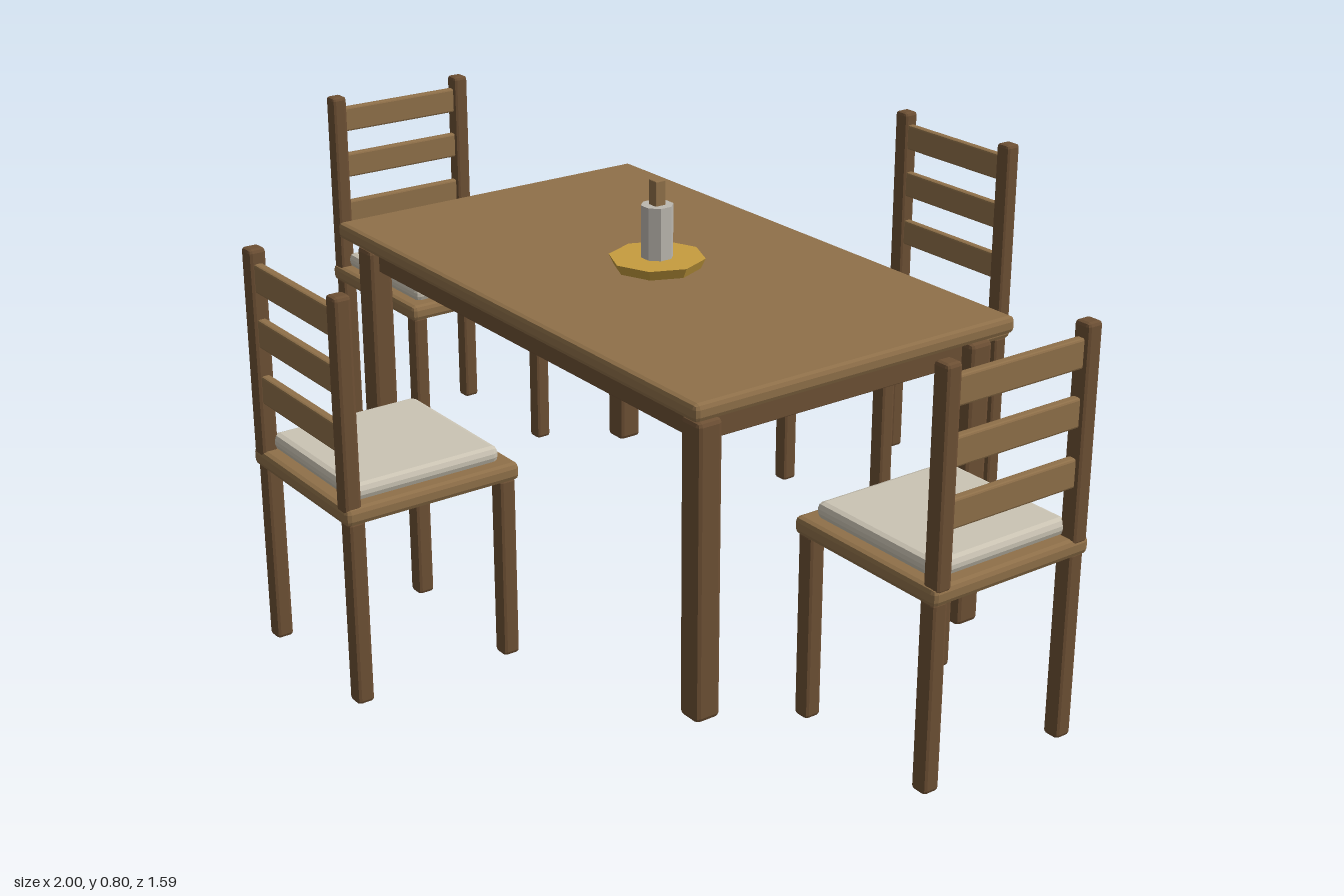
import * as THREE from 'three';
import { RoundedBoxGeometry } from 'three/addons/geometries/RoundedBoxGeometry.js';

const material = (name, color, flatShading = false) =>
  new THREE.MeshStandardMaterial({ name, color, flatShading });

export function createModel() {
  const wood = material('wood', 0x8f7049);
  const darkWood = material('dark wood', 0x6d5034);
  const fabric = material('cushion fabric', 0xcbc4b4);
  const brass = material('brass', 0xc69c3e, true);
  const glass = material('pale grey', 0xbcb8b0, true);

  // Box with faceted bevels, placed by its centre x, z and its bottom and top
  function block(parent, name, mat, w, d, x, z, y0, y1, bevel) {
    const geo = new RoundedBoxGeometry(w, y1 - y0, d, 1, bevel);
    geo.computeVertexNormals();
    const mesh = new THREE.Mesh(geo, mat);
    mesh.name = name;
    mesh.position.set(x, (y0 + y1) / 2, z);
    parent.add(mesh);
    return mesh;
  }

  const model = new THREE.Group();
  model.name = 'diningSet';

  // Table
  const table = new THREE.Group();
  table.name = 'table';
  block(table, 'tableTop', wood, 1.22, 0.732, 0, 0, 0.592, 0.626, 0.01);
  block(table, 'apron', darkWood, 1.114, 0.634, 0, 0, 0.53, 0.594, 0.002);
  for (const sx of [-1, 1])
    for (const sz of [-1, 1])
      block(table, 'tableLeg', darkWood, 0.053, 0.053, sx * 0.556, sz * 0.312, 0, 0.577, 0.009);
  model.add(table);

  // Chairs, each with its back on local +z
  function chair() {
    const g = new THREE.Group();
    g.name = 'chair';
    block(g, 'seat', wood, 0.354, 0.357, 0, 0, 0.354, 0.388, 0.01);
    block(g, 'cushion', fabric, 0.304, 0.304, 0, 0, 0.386, 0.418, 0.012);
    for (const sx of [-1, 1]) {
      for (const sz of [-1, 1])
        block(g, 'chairLeg', darkWood, 0.034, 0.034, sx * 0.155, sz * 0.155, 0, 0.36, 0.007);
      block(g, 'backPost', darkWood, 0.034, 0.034, sx * 0.155, 0.161, 0.376, 0.777, 0.007);
    }
    for (const y of [0.509, 0.618, 0.723])
      block(g, 'backSlat', wood, 0.3, 0.018, 0, 0.161, y - 0.027, y + 0.027, 0.004);
    return g;
  }
  const places = [
    [0, 0.615, 0],
    [0.821, 0, Math.PI / 2],
    [0, -0.615, Math.PI],
    [-0.821, 0, -Math.PI / 2],
  ];
  for (const [x, z, turn] of places) {
    const c = chair();
    c.position.set(x, 0, z);
    c.rotation.y = turn;
    model.add(c);
  }

  // Centrepiece: tray, candle jar and candle stub
  const centre = new THREE.Group();
  centre.name = 'centrepiece';
  const tray = new THREE.Mesh(new THREE.CylinderGeometry(0.095, 0.085, 0.021, 8), brass);
  tray.name = 'tray';
  tray.position.y = 0.636;
  const jar = new THREE.Mesh(new THREE.CylinderGeometry(0.032, 0.032, 0.107, 8), glass);
  jar.name = 'candleJar';
  jar.position.y = 0.698;
  jar.rotation.y = Math.PI / 8;
  centre.add(tray, jar);
  block(centre, 'candleStub', wood, 0.024, 0.024, 0, 0, 0.745, 0.801, 0.002);
  model.add(centre);

  return model;
}
